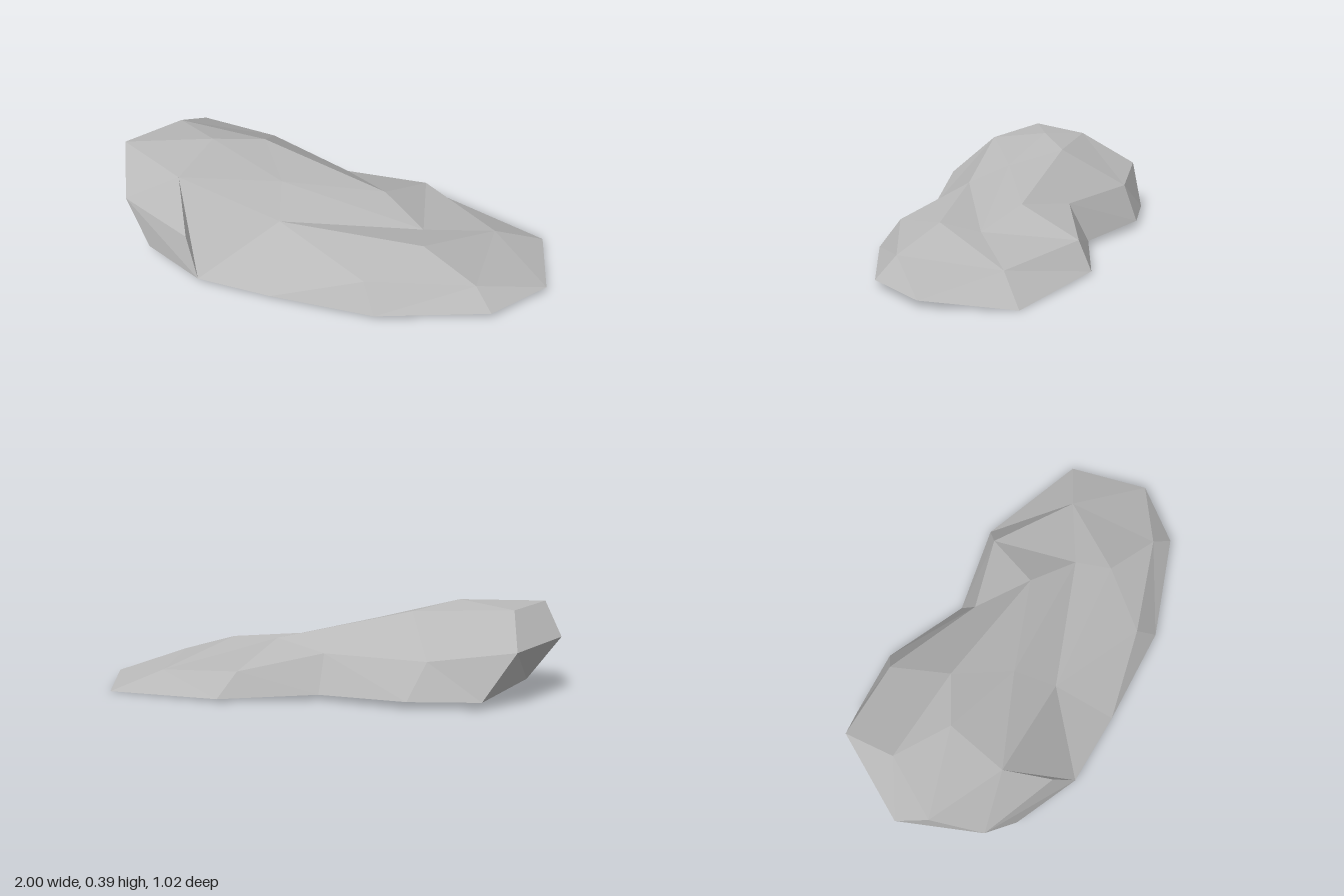
import * as THREE from 'three';

// Joins two closed loops of points with triangles. Each step moves one place
// along the outer loop ("o") or the inner loop ("i"); empty triangles are dropped.
function stitch(outer, inner, steps) {
  const out = [];
  let a = 0, b = 0;
  for (const step of steps) {
    const p = outer[a % outer.length], q = inner[b % inner.length];
    const next = step === 'o' ? outer[++a % outer.length] : inner[++b % inner.length];
    if (p !== q && next !== p && next !== q) out.push(...p, ...next, ...q);
  }
  return out;
}

export function createModel() {
  const stone = new THREE.MeshStandardMaterial({ color: 0xb8b8b8, flatShading: true, side: THREE.DoubleSide });
  stone.name = 'grey stone';

  // Ground rim of the slab, open underneath
  const rim = [
    [-0.86, 0.035, 0.05], [-0.705, 0.04, 0.39], [-0.41, 0.03, 0.505], [-0.08, 0.025, 0.495],
    [0.37, 0.025, 0.46], [0.82, 0.03, 0.28], [1, 0.03, 0.035], [0.915, 0, -0.325],
    [0.405, 0.01, -0.475], [0, 0.02, -0.37], [-0.375, 0.03, -0.515], [-0.67, 0.03, -0.485],
  ];

  // Shoulder points shared by the side and the top
  const frontPeak = [-0.6, 0.35, 0.255];
  const frontRidge = [-0.14, 0.215, 0.23];
  const shoulder = [
    [-1, 0.235, -0.02], [-0.84, 0.22, 0.32], [-0.49, 0.185, 0.435], frontPeak, frontRidge,
    [0.3, 0.135, 0.39], [0.735, 0.11, 0.225], [0.715, 0.08, -0.205], [0.335, 0.115, -0.405],
    [-0.01, 0.18, -0.28], [-0.45, 0.18, -0.44], [-0.805, 0.22, -0.415],
  ];

  // Top edge, dipping into a shallow hollow at the low end
  const hollow = [0.435, 0.145, -0.02];
  const crown = [
    [-0.935, 0.375, 0.12], frontPeak, frontRidge, [0.48, 0.185, 0.14], hollow,
    [0.22, 0.22, -0.13], [-0.37, 0.35, -0.155], [-0.795, 0.36, -0.155],
  ];

  // Spine from the summit down to the hollow and back
  const slope = [-0.2, 0.295, 0.055];
  const spine = [[-0.565, 0.39, -0.02], slope, hollow, slope];

  const parts = {
    rockSides: stitch(rim, shoulder, 'oioiiioioiooiooioioioioi'),
    rockShoulder: stitch(shoulder, crown, 'oioooioiooioioioiooi'),
    rockTop: stitch(crown, spine, 'oioioooioioo'),
  };

  const group = new THREE.Group();
  group.name = 'rock slab';
  for (const [name, positions] of Object.entries(parts)) {
    const geometry = new THREE.BufferGeometry();
    geometry.setAttribute('position', new THREE.Float32BufferAttribute(positions, 3));
    geometry.computeVertexNormals();
    const mesh = new THREE.Mesh(geometry, stone);
    mesh.name = name;
    group.add(mesh);
  }
  return group;
}
